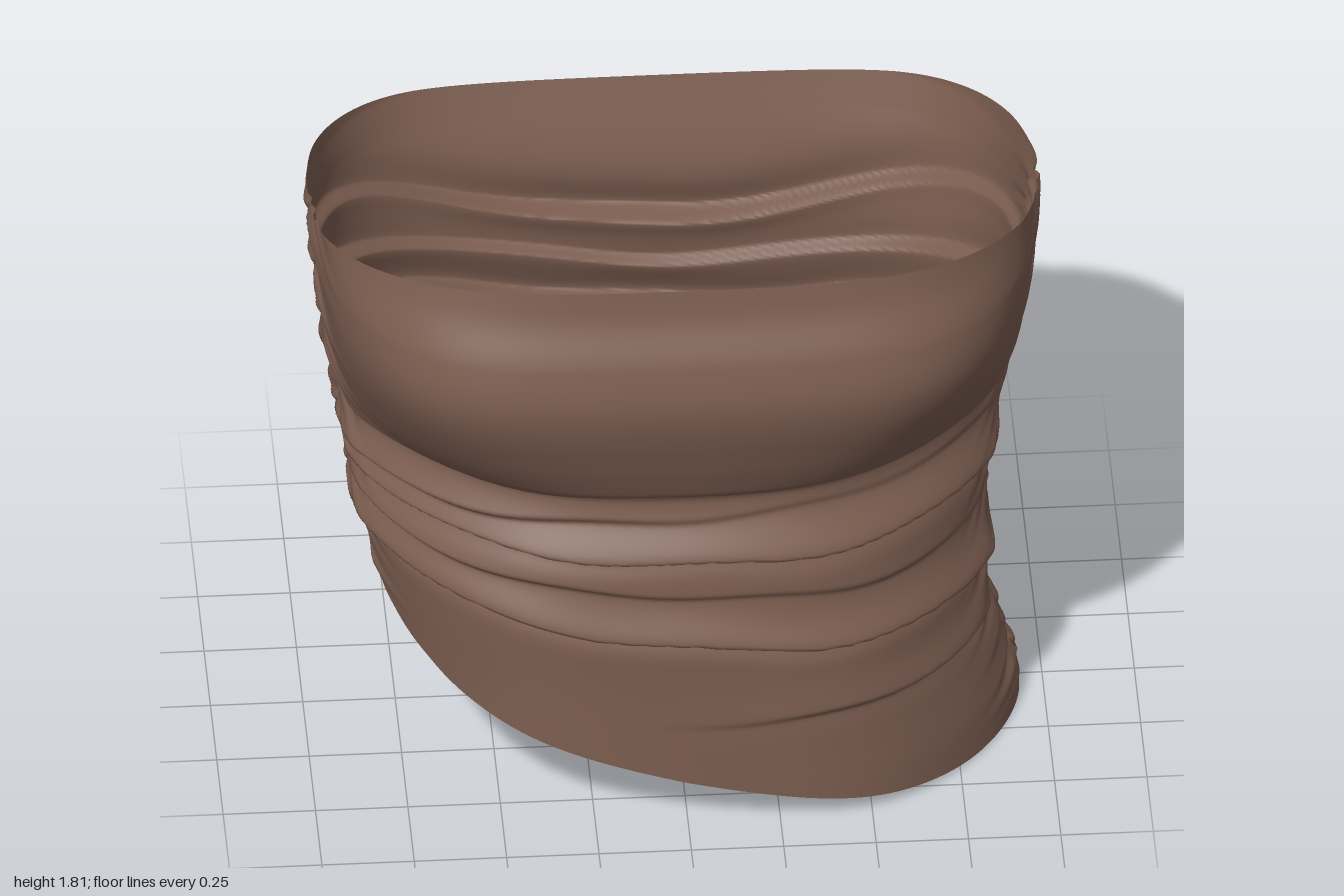
import * as THREE from 'three';

// Smooth curve through [t, value] pairs
function curve(pts, t) {
  const n = pts.length - 1;
  if (t <= pts[0][0]) return pts[0][1];
  if (t >= pts[n][0]) return pts[n][1];
  let i = 0;
  while (t > pts[i + 1][0]) i++;
  const slope = (k) => {
    const a = pts[Math.max(k - 1, 0)], b = pts[Math.min(k + 1, n)];
    return (b[1] - a[1]) / (b[0] - a[0]);
  };
  const [t0, v0] = pts[i], [t1, v1] = pts[i + 1], h = t1 - t0, u = (t - t0) / h;
  const u2 = u * u, u3 = u2 * u;
  return v0 * (2 * u3 - 3 * u2 + 1) + slope(i) * h * (u3 - 2 * u2 + u)
    + v1 * (3 * u2 - 2 * u3) + slope(i + 1) * h * (u3 - u2);
}

// Body reach in each direction by height
const FRONT = [[0, 0.67], [0.3, 0.65], [0.5, 0.64], [0.9, 0.635], [1.06, 0.605], [1.14, 0.665],
  [1.25, 0.72], [1.45, 0.77], [1.6, 0.745], [1.72, 0.69], [1.82, 0.665]];
const BACK = [[0, 0.5], [0.3, 0.485], [0.6, 0.535], [0.85, 0.61], [1.1, 0.65], [1.3, 0.7], [1.5, 0.77]];
const LEFT = [[0, 0.94], [0.12, 0.92], [0.3, 0.86], [0.5, 0.84], [0.8, 0.86], [1, 0.9], [1.2, 0.935], [1.6, 0.985]];
const RIGHT = [[0.2, 0.8], [0.4, 0.81], [0.6, 0.84], [0.8, 0.875], [1, 0.9], [1.2, 0.935], [1.6, 0.98]];
// Squareness of the cross-section by height
const FRONT_SQUARE = [[0, 1.9], [0.5, 1.95], [0.8, 1.85], [1.06, 1.66], [1.2, 2], [1.4, 2.45], [1.55, 2.5], [1.8, 2.2]];
const BACK_SQUARE = [[0.2, 1.98], [0.8, 2.3], [1.4, 2.85]];
// Slanted hem height across the width
const HEM = [[-1, 0.66], [-0.95, 0.5], [-0.83, 0.4], [-0.71, 0.345], [-0.48, 0.275], [0, 0.16],
  [0.48, 0.06], [0.8, 0.012], [1, 0.002]];

// Creases: heights at left seam, middle and right seam; depth; strength at left, middle, right
const FRONT_FOLDS = [
  { y: [1.08, 1.1, 1.05], depth: 0.024, on: [0.35, 0.5, 0.35] },
  { y: [1.0, 1.0, 0.95], depth: 0.026, on: [0.2, 0.3, 1] },
  { y: [0.86, 0.88, 0.91], depth: 0.036, on: [0.9, 1, 0.7] },
  { y: [0.7, 0.76, 0.83], depth: 0.02, on: [0.5, 0.4, 1] },
  { y: [0.54, 0.61, 0.75], depth: 0.043, on: [1, 1, 0.7] },
  { y: [0.34, 0.33, 0.33], depth: 0.025, on: [1, 0.05, 0] },
];
const BACK_FOLDS = [
  { y: [1.33, 1.09, 1.36], depth: 0.038, on: [0.3, 1, 0.4] },
  { y: [1.12, 0.96, 1.2], depth: 0.026, on: [0.9, 0.7, 1] },
  { y: [0.95, 0.82, 1.06], depth: 0.044, on: [0.8, 1, 0.8] },
  { y: [0.78, 0.6, 0.94], depth: 0.042, on: [0.8, 1, 0.7] },
  { y: [0.57, 0.43, 0.83], depth: 0.038, on: [0.9, 1, 0.8] },
  { y: [0.36, 0.31, 0.74], depth: 0.034, on: [0.9, 1, 0.5] },
];
const across = (v, p) => v[1] + (v[0] - v[2]) / 2 * p + ((v[0] + v[2]) / 2 - v[1]) * p * p;

// Levels off the front and back of a cross-section
const flatten = (p) => 1.11 * p / Math.pow(1 + Math.pow(1.08 * Math.abs(p), 12), 1 / 12);

// Cloth rolls over each crease: full above, tucked in just below
function foldOffset(folds, px, y, c) {
  let sum = 0;
  for (const f of folds) {
    const line = across(f.y, px) + 0.006 * Math.sin(c * 9 + f.depth * 900);
    const s = (y - line) / 0.055;
    const shape = s > 0 ? 1.35 * Math.min(s * 3, 1) * Math.exp(-s * s * 0.4) - 0.45 * Math.exp(-s * 5)
      : -0.45 * Math.exp(-s * s * 2);
    sum += f.depth * Math.max(0, across(f.on, px)) * shape;
  }
  return sum;
}

// Fine gathers fanning down from the side seams
function gatherOffset(angleToSeam, y, side) {
  const d = Math.abs(angleToSeam);
  const t = y + 0.25 * d * Math.min(1, y / 0.8);
  const wave = Math.sin(t * 31 + side) + 0.8 * Math.sin(t * 77 + 2 * side + d * 6) * Math.sin(t * 9 + side)
    + 0.6 * Math.sin(t * 123 + d * 9) * Math.sin(t * 14);
  const pinch = -0.012 * Math.exp(-((d / 0.025) ** 2));
  return 0.0075 * wave * Math.exp(-((d / 0.25) ** 2)) + pinch;
}

function clothPoint(angle, v) {
  const c = Math.cos(angle), s = Math.sin(angle);
  const isFront = s >= 0;
  const section = (n) => 1 / Math.pow(Math.abs(c) ** n + Math.abs(s) ** n, 1 / n);
  const seam = Math.asin(Math.min(1, Math.abs(s)));

  // Lower hem and upper rim
  const hemX = c * section(1.95);
  const notch = c > 0 ? 0.09 * Math.exp(-((seam / 0.09) ** 2)) : 0;
  const hem = curve(HEM, hemX) + notch + (isFront ? 0 : 0.035 * Math.abs(s));
  const rimZ = flatten(s * section(isFront ? 2.2 : 2.85));
  const rim = 1.65 + rimZ * 0.16;
  const y = hem + (rim - hem) * v;

  // Rounded cross-section, boxier toward the top
  const r = section(curve(isFront ? FRONT_SQUARE : BACK_SQUARE, y));
  const px = c * r;
  const mid = -0.05 * THREE.MathUtils.smoothstep(y, 0.2, 1.4);
  const reachX = curve(c > 0 ? LEFT : RIGHT, y);
  const reachZ = isFront ? curve(FRONT, y) - mid : curve(BACK, y) + mid;

  const fade = THREE.MathUtils.smoothstep(seam, 0, 0.3);
  const out = foldOffset(isFront ? FRONT_FOLDS : BACK_FOLDS, px, y, c) * fade
    + gatherOffset(seam, y, c > 0 ? 0 : 2);
  return [px * reachX + c * out, y, flatten(s * r) * reachZ + mid + s * out];
}

export function createModel() {
  const group = new THREE.Group();
  group.name = 'gatheredTubeTop';
  const cloth = new THREE.MeshStandardMaterial({ color: 0x7a5c4f, side: THREE.DoubleSide });
  cloth.name = 'brown cloth';

  // One closed sleeve of cloth, open at rim and hem
  const around = 288, rows = 210;
  const positions = [], index = [];
  for (let j = 0; j <= rows; j++) {
    for (let i = 0; i < around; i++) positions.push(...clothPoint(i / around * Math.PI * 2, j / rows));
  }
  for (let j = 0; j < rows; j++) {
    for (let i = 0; i < around; i++) {
      const a = j * around + i, b = j * around + (i + 1) % around;
      index.push(a, a + around, b, b, a + around, b + around);
    }
  }
  const geometry = new THREE.BufferGeometry();
  geometry.setAttribute('position', new THREE.Float32BufferAttribute(positions, 3));
  geometry.setIndex(index);
  geometry.computeVertexNormals();

  const body = new THREE.Mesh(geometry, cloth);
  body.name = 'clothBody';
  group.add(body);
  return group;
}
